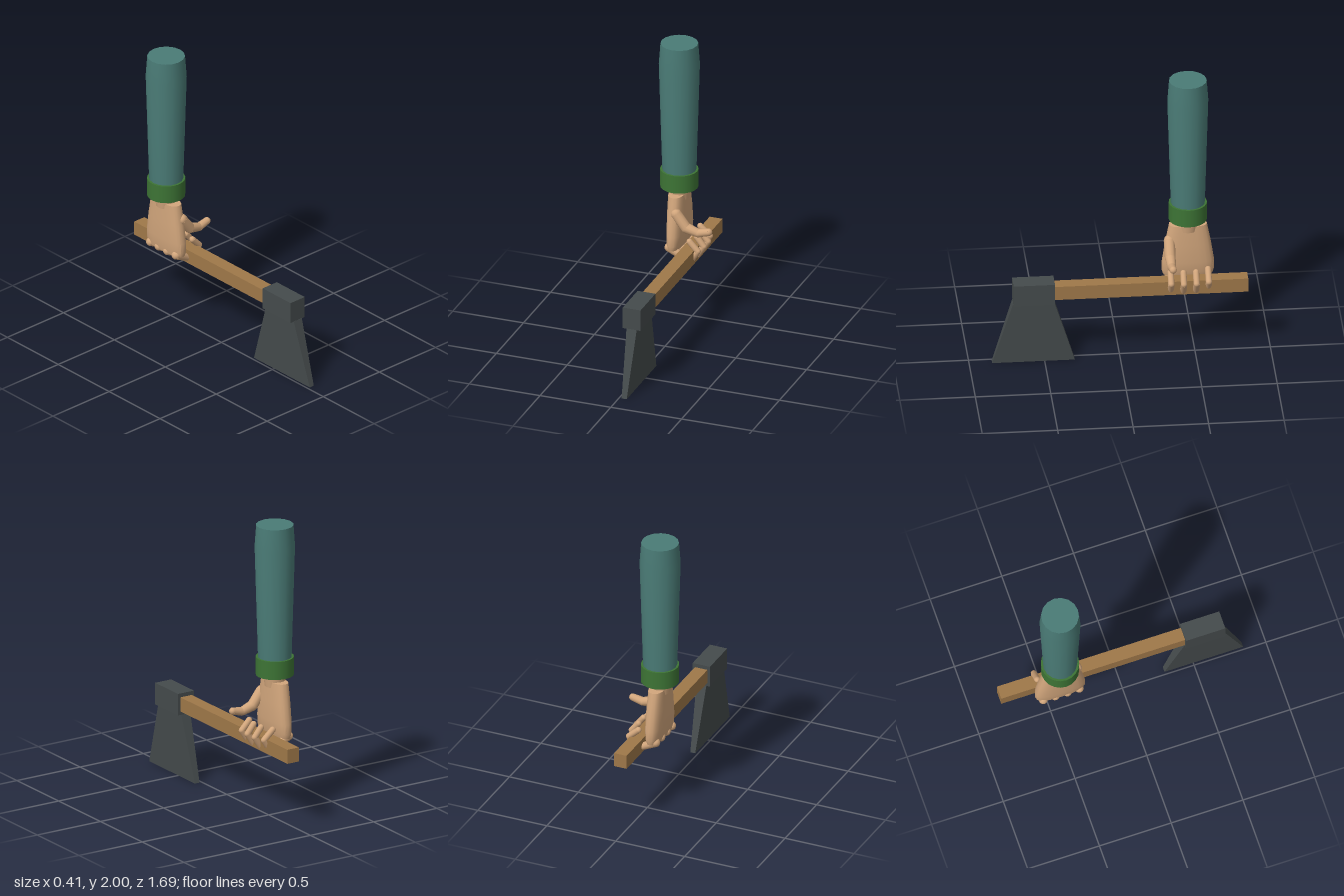
import * as THREE from 'three';
import { toCreasedNormals } from 'three/addons/utils/BufferGeometryUtils.js';

const mat = (name, color) => {
  const m = new THREE.MeshStandardMaterial({ color });
  m.name = name;
  return m;
};

// Closed loft through rounded sections [y, cx, cz, rx, rz], listed bottom to top
function loft(sections, sides = 20, power = 0.75) {
  const pos = [], index = [];
  const bend = (v) => Math.sign(v) * Math.abs(v) ** power;
  sections.forEach(([y, cx, cz, rx, rz]) => {
    for (let i = 0; i < sides; i++) {
      const a = (i / sides) * Math.PI * 2;
      pos.push(cx + rx * bend(Math.sin(a)), y, cz + rz * bend(Math.cos(a)));
    }
  });
  const last = sections.length - 1;
  for (let r = 0; r < last; r++) {
    for (let i = 0; i < sides; i++) {
      const a = r * sides + i, b = r * sides + ((i + 1) % sides);
      index.push(a, b, b + sides, a, b + sides, a + sides);
    }
  }
  for (let i = 1; i < sides - 1; i++) {
    index.push(0, i + 1, i);
    index.push(last * sides, last * sides + i, last * sides + i + 1);
  }
  const geo = new THREE.BufferGeometry();
  geo.setAttribute('position', new THREE.Float32BufferAttribute(pos, 3));
  geo.setIndex(index);
  return toCreasedNormals(geo, 0.7);
}

// Jointed digit: tapered segments with a ball at each joint; joints are [x, y, z, radius]
function digit(name, joints, material) {
  const group = new THREE.Group();
  group.name = name;
  const up = new THREE.Vector3(0, 1, 0);
  joints.forEach(([x, y, z, r], i) => {
    const p = new THREE.Vector3(x, y, z);
    const ball = new THREE.Mesh(new THREE.SphereGeometry(r, 12, 8), material);
    ball.name = name + 'Joint';
    ball.position.copy(p);
    group.add(ball);
    if (i === joints.length - 1) return;
    const [x2, y2, z2, r2] = joints[i + 1];
    const q = new THREE.Vector3(x2, y2, z2);
    const dir = q.clone().sub(p);
    const bone = new THREE.Mesh(new THREE.CylinderGeometry(r2, r, dir.length(), 12), material);
    bone.name = name + 'Segment';
    bone.position.copy(p).add(q).multiplyScalar(0.5);
    bone.quaternion.setFromUnitVectors(up, dir.normalize());
    group.add(bone);
  });
  return group;
}

export function createModel() {
  const model = new THREE.Group();
  model.name = 'armWithAxe';
  const sleeveMat = mat('teal sleeve', 0x4a7b76);
  const cuffMat = mat('green cuff', 0x3d7435);
  const skin = mat('skin', 0xd2a67c);
  const wood = mat('wood', 0x9f7849);
  const metal = mat('dark metal', 0x454b4c);

  const add = (name, geometry, material, x = 0, y = 0, z = 0) => {
    const mesh = new THREE.Mesh(geometry, material);
    mesh.name = name;
    mesh.position.set(x, y, z);
    model.add(mesh);
    return mesh;
  };
  const armX = -0.075, armZ = -0.46;

  // Sleeve, widest just below the shoulder
  const profile = [[0, 1.07], [0.113, 1.07], [0.136, 1.85], [0.125, 2], [0, 2]]
    .map(([r, y]) => new THREE.Vector2(r, y));
  add('sleeve', toCreasedNormals(new THREE.LatheGeometry(profile, 16), 0.6), sleeveMat, armX, 0, armZ);
  add('cuff', new THREE.CylinderGeometry(0.127, 0.127, 0.125, 20), cuffMat, armX, 1.02, armZ);

  // Wrist and palm
  add('wrist', new THREE.CylinderGeometry(0.083, 0.068, 0.13, 16), skin, armX, 0.945, armZ);
  add('palm', loft([
    [0.55, -0.073, -0.46, 0.045, 0.165],
    [0.58, -0.072, -0.46, 0.052, 0.174],
    [0.65, -0.072, -0.46, 0.058, 0.173],
    [0.78, -0.073, -0.46, 0.059, 0.153],
    [0.92, -0.075, -0.46, 0.055, 0.126],
  ]), skin);

  // Fingers curl under the handle and back up on its far side
  [[-0.335, -0.02], [-0.418, 0], [-0.502, -0.003], [-0.585, -0.04]].forEach(([z, reach], i) => {
    model.add(digit('finger' + (i + 1), [
      [-0.1, 0.558, z, 0.031],
      [-0.02, 0.515, z, 0.026],
      [0.065 + reach / 2, 0.492, z, 0.024],
      [0.113 + reach / 2, 0.562, z, 0.021],
      [0.065 + reach, 0.623, z, 0.021],
    ], skin));
  });

  // Thumb reaching out above the handle
  model.add(digit('thumb', [
    [-0.05, 0.81, -0.335, 0.037],
    [0.02, 0.72, -0.335, 0.036],
    [0.105, 0.695, -0.337, 0.029],
    [0.178, 0.712, -0.34, 0.025],
  ], skin));

  // Axe handle and head
  add('handle', new THREE.BoxGeometry(0.09, 0.098, 1.32), wood, 0.036, 0.519, -0.187);
  add('axeHead', new THREE.BoxGeometry(0.126, 0.15, 0.274), metal, 0.036, 0.52, 0.572);

  // Blade thins and flares toward its cutting edge
  const blade = new THREE.BoxGeometry(1, 0.446, 1);
  const p = blade.attributes.position;
  for (let i = 0; i < p.count; i++) {
    const top = p.getY(i) > 0;
    p.setX(i, p.getX(i) * (top ? 0.072 : 0.036));
    p.setZ(i, p.getZ(i) * (top ? 0.274 : 0.548));
  }
  blade.computeVertexNormals();
  add('axeBlade', blade, metal, 0.036, 0.223, 0.574);

  return model;
}
